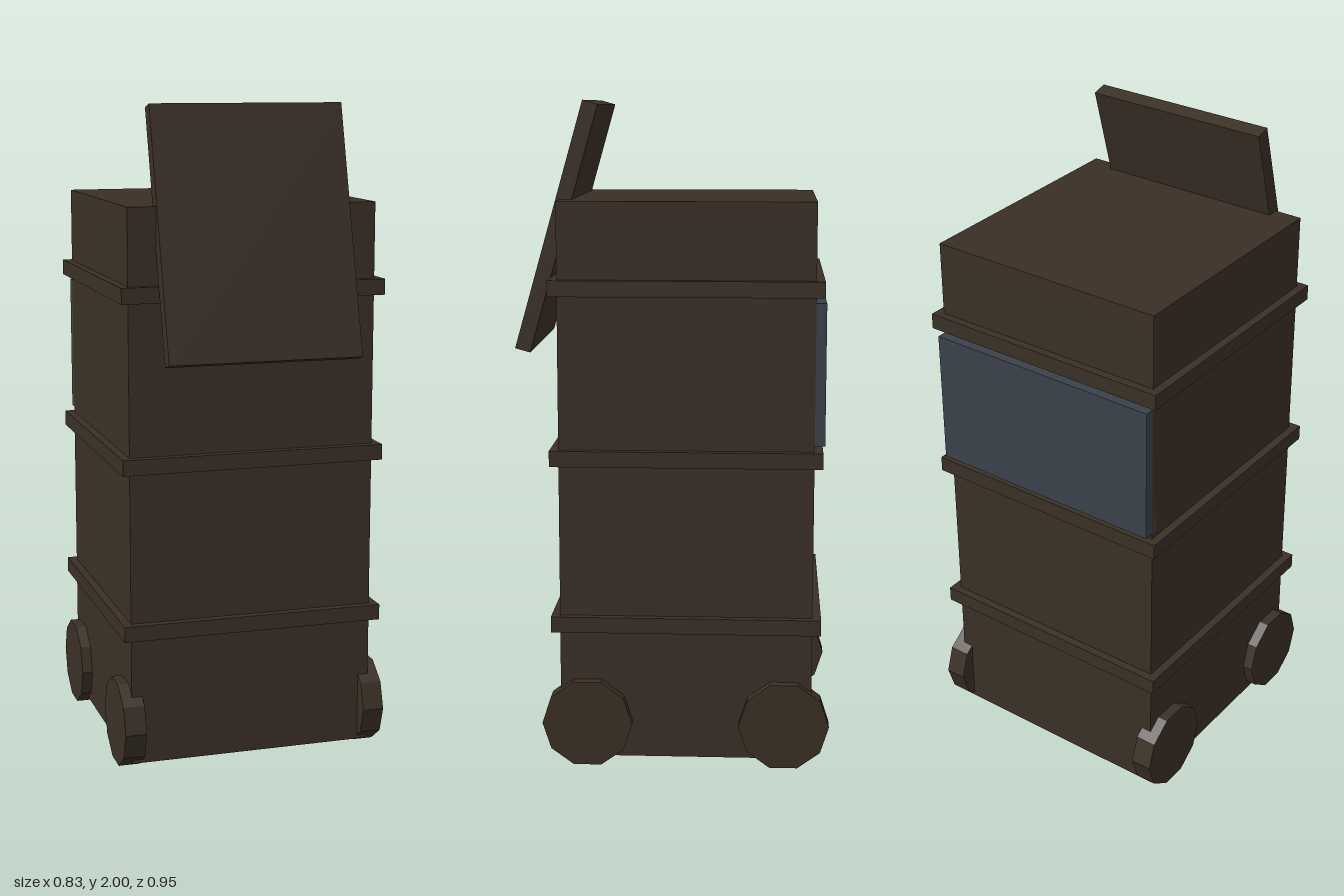
import * as THREE from 'three';

export function createModel() {
  const model = new THREE.Group();
  const brown = new THREE.MeshStandardMaterial({ color: 0x3a2f25, flatShading: true });
  brown.name = 'dark brown';
  const slate = new THREE.MeshStandardMaterial({ color: 0x3a4149, flatShading: true });
  slate.name = 'slate blue';

  const add = (name, geometry, material, x, y, z) => {
    const mesh = new THREE.Mesh(geometry, material);
    mesh.name = name;
    mesh.position.set(x, y, z);
    model.add(mesh);
    return mesh;
  };
  const bodyZ = -0.045;

  // Tall square body
  add('body', new THREE.BoxGeometry(0.764, 1.692, 0.764), brown, 0, 0.864, bodyZ);

  // Three bands around the body
  for (const y of [0.438, 0.948, 1.456]) {
    add('band', new THREE.BoxGeometry(0.815, 0.048, 0.815), brown, 0, y, bodyZ);
  }

  // Blue panel on the back
  add('backPanel', new THREE.BoxGeometry(0.764, 0.425, 0.05), slate, 0, 1.202, -0.433);

  // Tilted board leaning on the front
  const board = add('frontBoard', new THREE.BoxGeometry(0.592, 0.765, 0.047), brown, 0, 1.627, 0.347);
  board.rotation.x = -0.277;

  // Four ten-sided wheels, each with a corner pointing forward
  const wheel = new THREE.CylinderGeometry(0.137, 0.137, 0.066, 10);
  wheel.rotateY(Math.PI / 2).rotateZ(Math.PI / 2);
  // Keep flat edges at the top and bottom
  wheel.rotateX(Math.PI / 10 * (hasTopCorner(wheel) ? 1 : 0));
  for (const side of [-1, 1]) {
    for (const z of [0.254, -0.343]) add('wheel', wheel, brown, side * 0.382, 0.13, z);
  }
  return model;
}

// True when the wheel has a corner at its highest point
function hasTopCorner(geometry) {
  geometry.computeBoundingBox();
  return geometry.boundingBox.max.y > 0.135;
}
